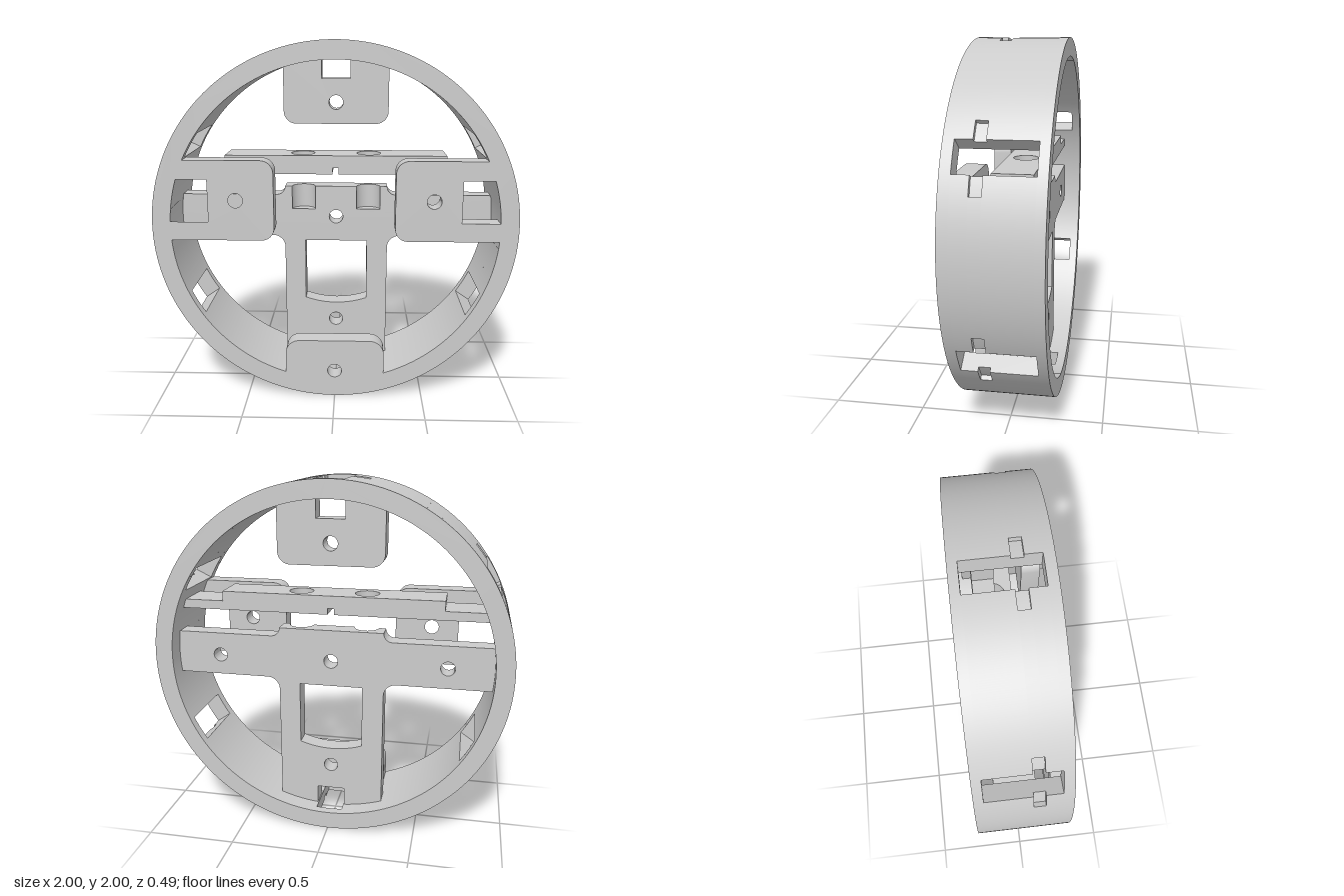
import * as THREE from 'three';
import { toCreasedNormals } from 'three/addons/utils/BufferGeometryUtils.js';

const material = new THREE.MeshStandardMaterial({ color: 0xcccccc });
const OUT = 1, IN = 0.9, SEAT = 0.915; // ring radii, and how far plates sink into the ring
const FRONT = [0.14, 0.245], BACK = [-0.14, -0.035]; // depth of front tabs and back plates
const onRing = (v) => Math.sqrt(SEAT * SEAT - v * v);

function add(group, name, geometry) {
  const mesh = new THREE.Mesh(toCreasedNormals(geometry, 0.5), material);
  mesh.name = name;
  group.add(mesh);
  return mesh;
}

// Extrude an xy shape between two depths
function plate(shape, [z0, z1], curveSegments = 20) {
  return new THREE.ExtrudeGeometry(shape, { depth: z1 - z0, bevelEnabled: false, curveSegments }).translate(0, 0, z0);
}

// Extrude an (x, -z) shape between two heights
const layer = (shape, heights) => plate(shape, heights).rotateX(-Math.PI / 2);

function arc(cx, cy, r, from, to, n = 10) {
  return Array.from({ length: n + 1 }, (_, i) => {
    const a = THREE.MathUtils.degToRad(from + (to - from) * i / n);
    return [cx + r * Math.cos(a), cy + r * Math.sin(a)];
  });
}

// Arc along the ring seat between two points on it
function seatArc(p, q) {
  const deg = ([x, y]) => THREE.MathUtils.radToDeg(Math.atan2(y, x));
  return arc(0, 0, SEAT, deg(p), deg(q), 12);
}

const polygon = (points) => new THREE.Shape(points.map(([x, y]) => new THREE.Vector2(x, y)));
const mirrored = (half) => polygon([...half, ...half.map(([x, y]) => [-x, y]).reverse()]);
const rect = (x0, y0, x1, y1) => polygon([[x0, y0], [x1, y0], [x1, y1], [x0, y1]]);

function drill(shape, x, y, r) {
  shape.holes.push(new THREE.Path().absarc(x, y, r, 0, Math.PI * 2, true));
  return shape;
}

function sector(a0, a1, outer) {
  const s = new THREE.Shape();
  s.absarc(0, 0, outer, a0, a1, false);
  s.absarc(0, 0, IN, a1, a0, true);
  s.closePath();
  return s;
}

// Ring stacked from bands, with six slots and their shallow cross grooves
function buildRing() {
  const ring = new THREE.Group();
  ring.name = 'ring';
  const slot = 0.083, groove = 0.18;
  const bands = [
    [-0.245, -0.195, 0], [-0.195, 0.045, slot], [0.045, 0.105, groove],
    [0.105, 0.19, slot], [0.19, 0.245, 0],
  ];
  for (let i = 0; i < 6; i++) {
    const a = Math.PI / 6 + i * Math.PI / 3, b = a + Math.PI / 3;
    for (const [z0, z1, gap] of bands) {
      add(ring, 'ringSegment', plate(sector(a + gap, b - gap, OUT), [z0, z1], 40));
      if (gap !== groove) continue;
      add(ring, 'grooveFloor', plate(sector(a + slot, a + groove, 0.975), [z0, z1], 6));
      add(ring, 'grooveFloor', plate(sector(b - groove, b - slot, 0.975), [z0, z1], 6));
    }
  }
  return ring;
}

// T-shaped back plate with window, screw holes and two upright half-round channels
function buildBackPlate() {
  const g = new THREE.Group();
  g.name = 'backPlate';
  const shape = mirrored([
    [0.08, -0.79],
    ...seatArc([0.08, -onRing(0.08)], [0.3, -onRing(0.3)]),
    ...arc(0.37, -0.185, 0.07, 180, 90),
    ...seatArc([onRing(0.115), -0.115], [onRing(0.13), 0.13]),
    ...arc(0.345, 0.18, 0.05, 270, 180),
    [0.27, 0.18], [0.27, 0.045], [0.1, 0.045], [0.1, 0.18],
  ]);
  for (const [x, y] of [[0, 0], [0, -0.64], [0.65, 0], [-0.65, 0]]) drill(shape, x, y, 0.04);
  shape.holes.push(polygon([[0.18, -0.145], [-0.18, -0.145], ...arc(0, 0, 0.535, 250.3, 289.7)]));
  add(g, 'tPlate', plate(shape, BACK));

  for (const side of [-1, 1]) {
    const cx = side * 0.187, left = Math.min(side * 0.1, side * 0.27), right = left + 0.17;
    const block = polygon([[left, 0.035], ...arc(cx, 0.035, 0.068, 180, 0, 20), [right, 0.035], [right, 0.14], [left, 0.14]]);
    add(g, 'channelBlock', layer(block, [0.045, 0.18]));
  }
  return g;
}

// Horizontal shelf with raised pad, two bores and a groove underneath
function buildShelf() {
  const g = new THREE.Group();
  g.name = 'shelf';
  const y0 = -0.07, y1 = 0.14, bore = 0.187;
  for (const [x0, x1, cx] of [[0.018, 0.87, bore], [-0.87, -0.018, -bore]]) {
    add(g, 'shelfUnderside', layer(drill(rect(x0, y0, x1, y1), cx, 0.035, 0.068), [0.27, 0.305]));
  }
  for (const [name, half, heights] of [['shelfSlab', 0.87, [0.305, 0.32]], ['shelfPad', 0.62, [0.32, 0.375]]]) {
    const s = rect(-half, y0, half, y1);
    for (const cx of [-bore, bore]) drill(s, cx, 0.035, 0.068);
    add(g, name, layer(s, heights));
  }
  return g;
}

// Side tab on the front with a window open to the ring wall
function sideTab(side) {
  const m = (points) => polygon(points.map(([x, y]) => [x * side, y]));
  const lo = -0.068, hi = 0.375;
  const shape = m([
    ...seatArc([onRing(lo), lo], [onRing(hi), hi]),
    ...arc(0.4, hi - 0.07, 0.07, 90, 180),
    ...arc(0.4, lo + 0.07, 0.07, 180, 270),
  ]);
  shape.holes.push(m([[0.69, 0.27], [0.69, 0.035], ...arc(0, 0, IN, 2.23, 17.46)]));
  return drill(shape, side * 0.538, 0.155, 0.04);
}

export function createModel() {
  const model = new THREE.Group();
  const body = new THREE.Group();
  body.name = 'wheelFrame';
  body.position.y = 1;
  model.add(body);

  body.add(buildRing(), buildBackPlate(), buildShelf());

  // Top tab with a notch at the ring
  const topTab = mirrored([
    ...arc(0.225, 0.61, 0.07, 270, 360),
    ...seatArc([0.295, onRing(0.295)], [0.08, onRing(0.08)]),
    [0.08, 0.79],
  ]);
  add(body, 'topTab', plate(drill(topTab, 0, 0.66, 0.04), BACK));

  // Bottom and side tabs, flush with the front of the ring
  const bottomTab = mirrored([
    ...seatArc([0.01, -onRing(0.01)], [0.28, -onRing(0.28)]),
    ...arc(0.2, -0.74, 0.08, 0, 90),
  ]);
  add(body, 'bottomTab', plate(drill(bottomTab, 0, -0.845, 0.04), FRONT));
  add(body, 'leftTab', plate(sideTab(1), FRONT));
  add(body, 'rightTab', plate(sideTab(-1), FRONT));

  return model;
}
